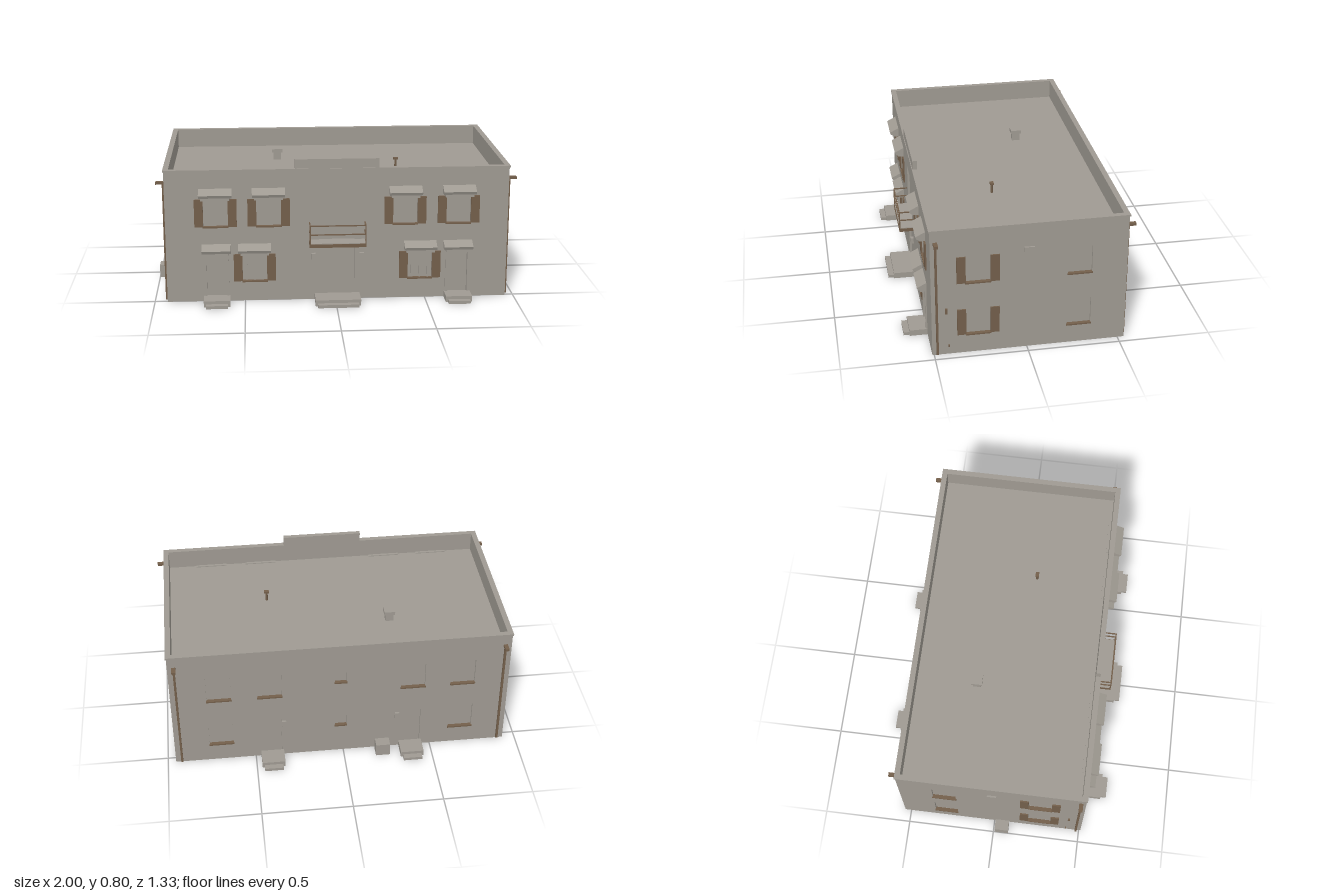
import * as THREE from 'three';

const stone = new THREE.MeshStandardMaterial({ color: 0x9f9a92 });
stone.name = 'warm grey stone';
const wood = new THREE.MeshStandardMaterial({ color: 0x735f4b });
wood.name = 'brown wood and metal';

const X0 = -0.93, X1 = 0.955, Z0 = -0.535, Z1 = 0.51, TOP = 0.745, ROOF = 0.64, T = 0.025;

function add(parent, name, geo, mat) {
  const m = new THREE.Mesh(geo, mat);
  m.name = name;
  parent.add(m);
  return m;
}

// box given by its minimum and maximum corners
function box(parent, name, mat, x0, x1, y0, y1, z0, z1) {
  const m = add(parent, name, new THREE.BoxGeometry(x1 - x0, y1 - y0, z1 - z0), mat);
  m.position.set((x0 + x1) / 2, (y0 + y1) / 2, (z0 + z1) / 2);
  return m;
}

// wall in its own frame: x along the wall, y up, z = 0 on the outer face
// an opening is { x, w, y0, y1 }
function makeWall(root, name, x0, x1, openings, place) {
  const g = new THREE.Group();
  g.name = name;
  place(g);
  root.add(g);
  const s = new THREE.Shape();
  s.moveTo(x0, 0);
  // doorways cut into the bottom edge
  for (const o of openings.filter(o => o.y0 === 0).sort((a, b) => a.x - b.x)) {
    s.lineTo(o.x - o.w / 2, 0);
    s.lineTo(o.x - o.w / 2, o.y1);
    s.lineTo(o.x + o.w / 2, o.y1);
    s.lineTo(o.x + o.w / 2, 0);
  }
  s.lineTo(x1, 0);
  s.lineTo(x1, TOP);
  s.lineTo(x0, TOP);
  s.closePath();
  for (const o of openings.filter(o => o.y0 > 0)) {
    const a = o.x - o.w / 2, b = o.x + o.w / 2;
    const h = new THREE.Path();
    h.moveTo(a, o.y0);
    h.lineTo(a, o.y1);
    h.lineTo(b, o.y1);
    h.lineTo(b, o.y0);
    h.closePath();
    s.holes.push(h);
  }
  const geo = new THREE.ExtrudeGeometry(s, { depth: T, bevelEnabled: false });
  geo.translate(0, 0, -T);
  add(g, name + 'Panel', geo, stone);
  // recessed panes and door leaves
  for (const o of openings) {
    box(g, o.y0 === 0 ? 'doorLeaf' : 'windowPane', stone,
      o.x - o.w / 2, o.x + o.w / 2, o.y0, o.y1, -0.02, -0.013);
  }
  return g;
}

const UP = [0.43, 0.585], LOW = [0.115, 0.27];
const win = (x, [y0, y1], w = 0.135) => ({ x, w, y0, y1 });
const door = (x, w = 0.11, y1 = 0.26) => ({ x, w, y0: 0, y1 });

function sill(g, o) {
  box(g, 'windowSill', wood, o.x - o.w / 2 - 0.003, o.x + o.w / 2 + 0.003, o.y0 - 0.006, o.y0 + 0.002, -0.012, 0.009);
}

function shutters(g, o) {
  for (const s of [-1, 1]) {
    const a = o.x + s * o.w / 2, b = a + s * 0.048;
    box(g, 'shutter', wood, Math.min(a, b), Math.max(a, b), o.y0, o.y1, 0, 0.008);
  }
}

// sloping hood over a window or door, with a moulding below
function hood(g, x, y, w) {
  const s = new THREE.Shape([[-0.04, 0.017], [0.045, 0.017], [0.052, 0.033], [0, 0.06], [-0.04, 0.06]]
    .map(p => new THREE.Vector2(...p)));
  const geo = new THREE.ExtrudeGeometry(s, { depth: w, bevelEnabled: false });
  geo.rotateY(-Math.PI / 2);
  geo.translate(x + w / 2, y, 0);
  add(g, 'hood', geo, stone);
  box(g, 'hoodMoulding', stone, x - w / 2 + 0.012, x + w / 2 - 0.012, y, y + 0.017, 0, 0.035);
}

function steps(g, x, w, deep, back = 0) {
  box(g, 'upperStep', stone, x - w / 2, x + w / 2, 0, 0.034, back, deep - 0.032);
  box(g, 'lowerStep', stone, x - w / 2 + 0.012, x + w / 2 - 0.012, 0, 0.017, deep - 0.032, deep);
}

// downpipe with its spout head
function downpipe(g, x) {
  box(g, 'downpipe', wood, x - 0.006, x + 0.006, 0.005, 0.67, 0, 0.011);
  box(g, 'pipeHead', wood, x - 0.011, x + 0.011, 0.668, 0.682, 0, 0.045);
}

function buildFront(root) {
  const upper = [-0.655, -0.365, 0.385, 0.68].map(x => win(x, UP));
  const lower = [-0.445, 0.47].map(x => win(x, LOW));
  const doors = [-0.655, 0.68].map(x => door(x));
  const main = door(0.008, 0.195, 0.305);
  const balconyDoor = { x: 0.008, w: 0.195, y0: 0.345, y1: 0.62 };
  const g = makeWall(root, 'frontWall', X0, X1, [...upper, ...lower, ...doors, main, balconyDoor],
    o => o.position.set(0, 0, Z1));
  for (const o of [...upper, ...lower]) {
    sill(g, o);
    shutters(g, o);
    hood(g, o.x, o.y1, 0.18);
  }
  // glazing bars
  for (const o of lower) {
    for (const d of [-0.045, 0, 0.045]) box(g, 'windowBar', stone, o.x + d - 0.003, o.x + d + 0.003, o.y0, o.y1, -0.013, -0.006);
  }
  for (const o of doors) {
    for (const s of [-1, 1]) box(g, 'doorJamb', stone, o.x + s * 0.061 - 0.006, o.x + s * 0.061 + 0.006, 0, 0.272, 0, 0.008);
    hood(g, o.x, 0.27, 0.16);
    steps(g, o.x, 0.145, 0.13);
  }
  steps(g, 0.01, 0.25, 0.152);
  // wall lamps
  for (const x of [-0.122, 0.145]) box(g, 'wallLamp', stone, x - 0.012, x + 0.012, 0.235, 0.27, 0, 0.018);
  // balcony
  const a = -0.145, b = 0.165, d = 0.08;
  box(g, 'balconySlab', wood, a, b, 0.323, 0.342, -0.04, d);
  box(g, 'balconyFloor', stone, a + 0.003, b - 0.003, 0.342, 0.346, 0, d - 0.003);
  for (const y of [0.396, 0.446]) {
    box(g, 'frontRail', wood, a, b, y - 0.003, y + 0.003, d - 0.006, d);
    for (const x of [a, b - 0.006]) box(g, 'sideRail', wood, x, x + 0.006, y - 0.003, y + 0.003, 0, d);
  }
  for (const x of [a, b - 0.006]) box(g, 'railPost', wood, x, x + 0.006, 0.342, 0.449, d - 0.006, d);
  // raised parapet
  box(g, 'raisedParapet', stone, -0.22, 0.24, TOP, 0.802, -T, 0.001);
}

function buildBack(root) {
  const windows = [0.69, -0.67].flatMap(x => [win(-x, UP), win(-x, LOW)]);
  windows.push(win(-0.41, UP), win(0.39, UP));
  const small = [win(-0.015, [0.5, 0.565], 0.065), win(-0.015, [0.19, 0.255], 0.065)];
  const doors = [door(-0.405), door(0.385)];
  const g = makeWall(root, 'backWall', -X1, -X0, [...windows, ...small, ...doors], o => {
    o.position.set(0, 0, Z0);
    o.rotation.y = Math.PI;
  });
  for (const o of [...windows, ...small]) sill(g, o);
  for (const o of doors) steps(g, o.x, 0.13, 0.135);
  for (const x of [-0.335, 0.305]) box(g, 'wallLamp', stone, x - 0.012, x + 0.012, 0.21, 0.25, 0, 0.012);
  box(g, 'utilityBox', stone, 0.18, 0.26, 0, 0.075, 0.015, 0.075);
  for (const x of [-0.92, 0.895]) downpipe(g, x);
}

// s = 1 is the +x side, s = -1 its mirror
function buildSide(root, s) {
  const front = [win(-s * 0.262, UP, 0.13), win(-s * 0.262, LOW, 0.13)];
  const rear = [win(s * 0.28, UP, 0.13), win(s * 0.28, LOW, 0.13)];
  const ends = [-s * (Z1 - T), -s * (Z0 + T)].sort((a, b) => a - b);
  const g = makeWall(root, s > 0 ? 'leftSideWall' : 'rightSideWall', ends[0], ends[1], [...front, ...rear], o => {
    o.position.set(s > 0 ? X1 : X0, 0, 0);
    o.rotation.y = s * Math.PI / 2;
  });
  front.forEach(o => shutters(g, o));
  [...front, ...rear].forEach(o => sill(g, o));
  const u = s * 0.008;
  box(g, 'vent', stone, u - 0.027, u + 0.027, 0.58, 0.613, 0, 0.009);
  box(g, 'meterBox', wood, -s * 0.432 - 0.006, -s * 0.432 + 0.006, 0.253, 0.284, 0, 0.009);
  box(g, 'tap', wood, -s * 0.42 - 0.003, -s * 0.42 + 0.003, 0.048, 0.06, 0, 0.009);
  downpipe(g, -s * 0.482);
}

function buildRoof(root) {
  box(root, 'roofDeck', stone, X0 + T, X1 - T, ROOF - 0.01, ROOF, Z0 + T, Z1 - T);
  // coping along the parapet
  const e = 0.005, y0 = 0.74, y1 = 0.75;
  for (const [a, b] of [[Z0 - e, Z0 + T], [Z1 - T, Z1 + e]]) box(root, 'coping', stone, X0 - e, X1 + e, y0, y1, a, b);
  for (const [a, b] of [[X0 - e, X0 + T], [X1 - T, X1 + e]]) box(root, 'coping', stone, a, b, y0, y1, Z0 + T, Z1 - T);
  // chimney
  box(root, 'chimney', stone, -0.325, -0.28, ROOF, 0.685, -0.193, -0.148);
  box(root, 'chimneyCap', stone, -0.333, -0.272, 0.685, 0.705, -0.201, -0.14);
  // vent pipe
  const pipe = add(root, 'ventPipe', new THREE.CylinderGeometry(0.007, 0.007, 0.06, 8), wood);
  pipe.position.set(0.375, ROOF + 0.03, 0.09);
  box(root, 'ventCap', wood, 0.361, 0.389, 0.692, 0.702, 0.08, 0.1);
}

export function createModel() {
  const root = new THREE.Group();
  root.name = 'townhouse';
  buildFront(root);
  buildBack(root);
  buildSide(root, 1);
  buildSide(root, -1);
  buildRoof(root);
  // box standing by the side wall
  box(root, 'sideUtilityBox', stone, -1.0, -0.94, 0, 0.072, 0.008, 0.087);
  return root;
}
